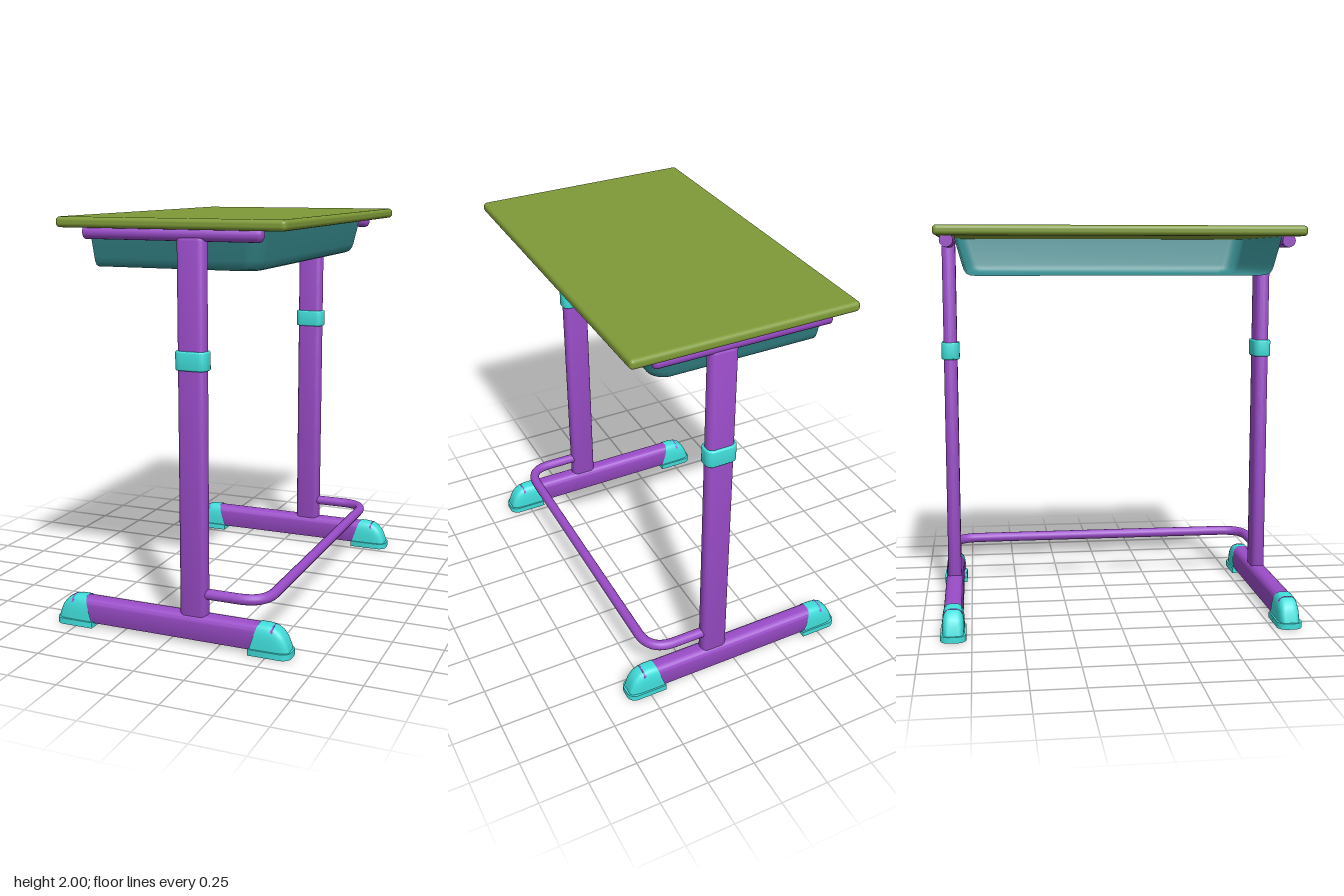
import * as THREE from 'three';
import { toCreasedNormals } from 'three/addons/utils/BufferGeometryUtils.js';
import { RoundedBoxGeometry } from 'three/addons/geometries/RoundedBoxGeometry.js';

const paint = (color, side = THREE.FrontSide) => new THREE.MeshStandardMaterial({ color, side });
const olive = paint(0x7f9a38);
const purple = paint(0x9a4cc8);
const cyan = paint(0x40dedb, THREE.DoubleSide);
const teal = paint(0x36898d, THREE.DoubleSide);

function part(name, geometry, material) {
  const mesh = new THREE.Mesh(geometry, material);
  mesh.name = name;
  return mesh;
}

// Rectangle with one radius for the low-x corners and another for the high-x corners
function roundedRect(x0, x1, y0, y1, rLow, rHigh, Type = THREE.Shape) {
  const s = new Type();
  s.moveTo(x0 + rLow, y0);
  s.lineTo(x1 - rHigh, y0);
  s.absarc(x1 - rHigh, y0 + rHigh, rHigh, -Math.PI / 2, 0);
  s.absarc(x1 - rHigh, y1 - rHigh, rHigh, 0, Math.PI / 2);
  s.lineTo(x0 + rLow, y1);
  s.absarc(x0 + rLow, y1 - rLow, rLow, Math.PI / 2, Math.PI);
  s.absarc(x0 + rLow, y0 + rLow, rLow, Math.PI, Math.PI * 1.5);
  return s;
}

// Vertical extrusion of a plan shape from y0 to y1, with chamfered ends
function upright(shape, y0, y1, bevel = 0) {
  const g = new THREE.ExtrudeGeometry(shape, {
    depth: y1 - y0 - 2 * bevel, curveSegments: 8, bevelEnabled: bevel > 0,
    bevelSize: bevel, bevelThickness: bevel, bevelOffset: -bevel, bevelSegments: 3,
  });
  g.rotateX(-Math.PI / 2).translate(0, y0 + bevel, 0);
  return toCreasedNormals(g, 0.7);
}

// Smooth skin over a row of open cross-sections with equal point counts
function loft(rings) {
  const n = rings[0].length, index = [];
  for (let i = 0; i < rings.length - 1; i++) {
    for (let j = 0; j < n - 1; j++) {
      const a = i * n + j, b = a + n;
      index.push(a, a + 1, b, b, a + 1, b + 1);
    }
  }
  const g = new THREE.BufferGeometry();
  g.setAttribute('position', new THREE.Float32BufferAttribute(rings.flat(2), 3));
  g.setIndex(index);
  g.computeVertexNormals();
  return g;
}

// Domed foot cap: [x at bottom, x at top, top height, half width]
function capGeometry() {
  const sections = [
    [0.415, 0.455, 0.15, 0.055], [0.5, 0.5, 0.15, 0.055], [0.55, 0.535, 0.143, 0.054],
    [0.582, 0.56, 0.128, 0.05], [0.598, 0.58, 0.105, 0.043], [0.606, 0.595, 0.075, 0.034],
    [0.61, 0.605, 0.03, 0.026],
  ];
  return loft(sections.map(([xb, xt, h, w]) => {
    const ring = [];
    for (let k = 0; k <= 20; k++) {
      const a = Math.PI * k / 20, c = Math.cos(a);
      const t = Math.pow(Math.max(0, Math.sin(a)), 0.6);
      ring.push([xb + (xt - xb) * t, 0.025 + (h - 0.025) * t, Math.sign(c) * Math.pow(Math.abs(c), 0.6) * w]);
    }
    return ring;
  }));
}

// Tray open towards -x: [height, half width, far x, plan corner radius]
function trayGeometry() {
  const levels = [
    [1.952, 0.803, 0.437, 0.08], [1.9, 0.79, 0.43, 0.08], [1.81, 0.765, 0.415, 0.08],
    [1.787, 0.757, 0.408, 0.08], [1.77, 0.745, 0.397, 0.08], [1.762, 0.725, 0.378, 0.08],
    [1.76, 0.7, 0.355, 0.07], [1.76, 0, -0.42, 0],
  ];
  return loft(levels.map(([y, w, x, r]) => {
    const ring = [[-0.42, y, w]];
    for (const s of [1, -1]) {
      for (let k = 0; k <= 8; k++) {
        const a = (s > 0 ? 8 - k : k) * Math.PI / 16;
        ring.push([x - r + r * Math.cos(a), y, s * (w - r + r * Math.sin(a))]);
      }
    }
    ring.push([-0.42, y, -w]);
    return ring;
  }));
}

// One end frame: foot bar, caps, leg, collar and top rail
function createSideFrame(name) {
  const frame = new THREE.Group();
  frame.name = name;

  const section = roundedRect(0.022, 0.145, -0.047, 0.047, 0.004, 0.035);
  const bar = new THREE.ExtrudeGeometry(section, { depth: 1.06, bevelEnabled: false, curveSegments: 8 });
  // Section x becomes height, extrusion runs along x
  bar.applyMatrix4(new THREE.Matrix4().makeBasis(
    new THREE.Vector3(0, 1, 0), new THREE.Vector3(0, 0, 1), new THREE.Vector3(1, 0, 0)));
  bar.translate(-0.53, 0, 0);
  frame.add(part('footBar', toCreasedNormals(bar, 0.7), purple));

  for (const end of [1, -1]) {
    const foot = new THREE.Group();
    foot.name = end > 0 ? 'rearFoot' : 'frontFoot';
    const lip = roundedRect(0.412, 0.616, -0.063, 0.063, 0.003, 0.045);
    lip.holes.push(roundedRect(0.43, 0.598, -0.045, 0.045, 0.003, 0.03, THREE.Path));
    foot.add(part('footCap', capGeometry(), cyan), part('footLip', upright(lip, 0, 0.03), cyan));
    if (end < 0) foot.rotation.y = Math.PI;
    frame.add(foot);
  }

  frame.add(part('leg', upright(roundedRect(0.05, 0.19, -0.035, 0.035, 0.03, 0.03), 0.1, 1.915, 0.012), purple));
  frame.add(part('heightCollar', upright(roundedRect(0.04, 0.2, -0.047, 0.047, 0.036, 0.036), 1.315, 1.405, 0.008), cyan));

  const rail = new THREE.LatheGeometry([
    [0, -0.42], [0.033, -0.42], [0.033, 0.44], [0.029, 0.453], [0.018, 0.46], [0, 0.462],
  ].map(([r, x]) => new THREE.Vector2(r, x)), 20);
  rail.rotateZ(-Math.PI / 2).translate(0, 1.93, 0);
  frame.add(part('topRail', toCreasedNormals(rail, 0.8), purple));
  return frame;
}

// Bent bar joining both legs near the floor
function footrestGeometry() {
  const p = (x, z) => new THREE.Vector3(x, 0.245, z);
  const path = new THREE.CurvePath();
  path.add(new THREE.LineCurve3(p(0.16, 0.84), p(0.34, 0.84)));
  path.add(new THREE.QuadraticBezierCurve3(p(0.34, 0.84), p(0.475, 0.84), p(0.475, 0.7)));
  path.add(new THREE.LineCurve3(p(0.475, 0.7), p(0.475, -0.7)));
  path.add(new THREE.QuadraticBezierCurve3(p(0.475, -0.7), p(0.475, -0.84), p(0.34, -0.84)));
  path.add(new THREE.LineCurve3(p(0.34, -0.84), p(0.16, -0.84)));
  return new THREE.TubeGeometry(path, 120, 0.026, 14, false);
}

export function createModel() {
  const desk = new THREE.Group();
  desk.name = 'schoolDesk';

  const top = part('tabletop', new RoundedBoxGeometry(1.135, 0.05, 1.8, 4, 0.02), olive);
  top.position.set(0.0175, 1.975, 0);
  desk.add(top, part('storageTray', trayGeometry(), teal), part('footrest', footrestGeometry(), purple));

  for (const side of [1, -1]) {
    const frame = createSideFrame(side > 0 ? 'frontSideFrame' : 'backSideFrame');
    frame.position.z = side * 0.84;
    desk.add(frame);
  }
  return desk;
}
